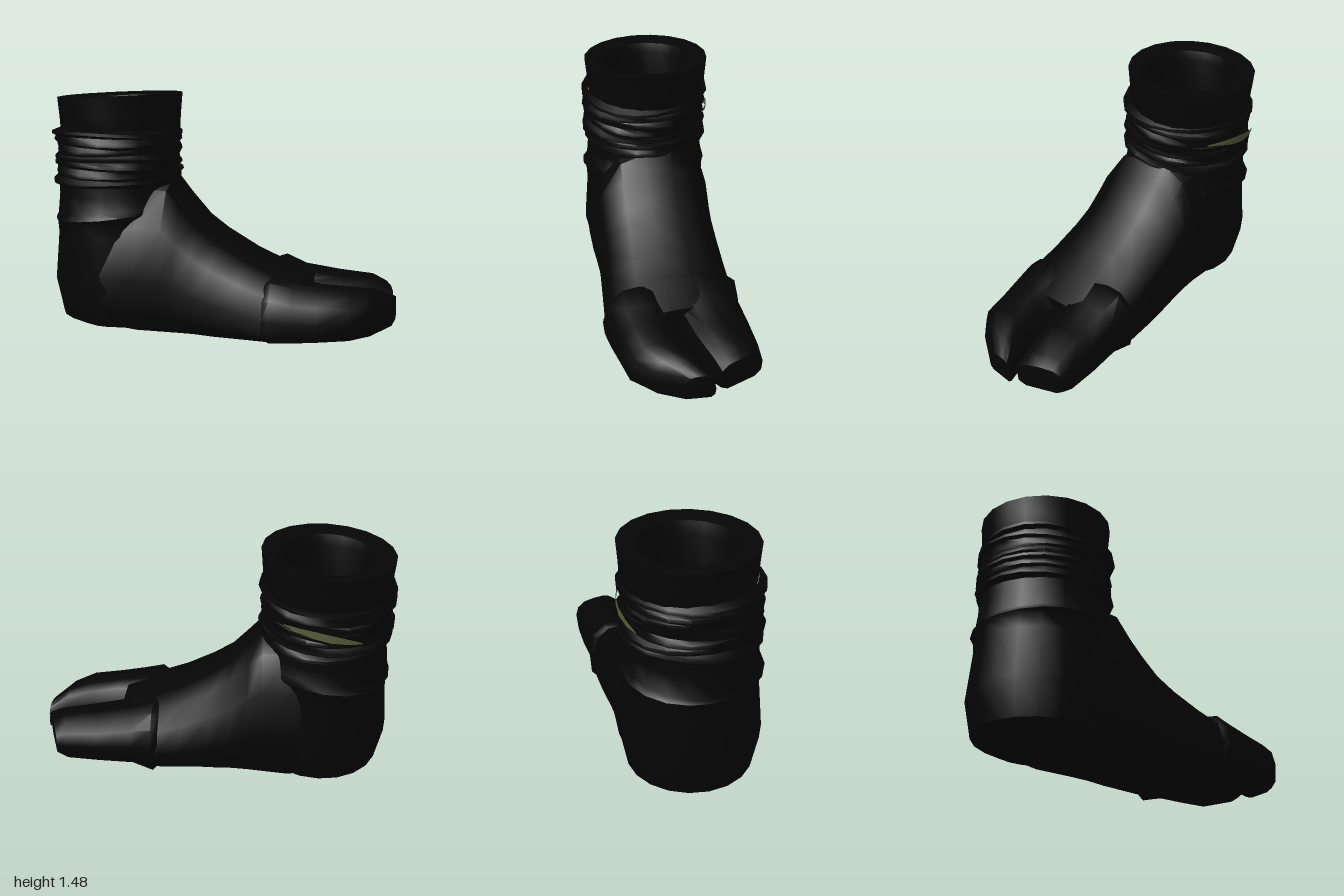
import * as THREE from 'three';
import { toCreasedNormals } from 'three/addons/utils/BufferGeometryUtils.js';

// Skin a list of equal-length rings, optionally closing either end with a fan
function loft(rings, capStart, capEnd) {
  const n = rings[0].length, pos = rings.flat(2), idx = [];
  for (let i = 0; i < rings.length - 1; i++) {
    for (let j = 0; j < n; j++) {
      const a = i * n + j, b = i * n + (j + 1) % n;
      idx.push(a, a + n, b + n, a, b + n, b);
    }
  }
  const cap = (r, flip) => {
    const c = pos.length / 3, ring = rings[r];
    for (let k = 0; k < 3; k++) pos.push(ring.reduce((s, p) => s + p[k], 0) / n);
    for (let j = 0; j < n; j++) {
      const a = r * n + j, b = r * n + (j + 1) % n;
      if (flip) idx.push(c, b, a); else idx.push(c, a, b);
    }
  };
  if (capStart) cap(0, false);
  if (capEnd) cap(rings.length - 1, true);
  const g = new THREE.BufferGeometry();
  g.setAttribute('position', new THREE.Float32BufferAttribute(pos, 3));
  g.setIndex(idx);
  return toCreasedNormals(g, 0.8);
}

// Cross-section outlines: [across -1..1, height 0..1]
const FOOT = [[-0.72, 0], [0.72, 0], [0.96, 0.13], [1, 0.38], [0.87, 0.69], [0.52, 0.93],
  [0.1, 0.99], [-0.3, 1], [-0.65, 0.92], [-0.9, 0.7], [-1, 0.38], [-0.95, 0.13]];
const TOE = [[-0.65, 0], [0.65, 0], [0.95, 0.16], [1, 0.5], [0.93, 0.82], [0.6, 0.97],
  [0, 1], [-0.5, 0.97], [-0.88, 0.8], [-1, 0.5], [-0.95, 0.16]];

// Section: [along, side min, side max, bottom, top, skew]
const sections = (outline, list) => list.map(([u, v0, v1, y0, y1, skew = 0]) =>
  outline.map(([s, t]) => [u + skew * s, y0 + (y1 - y0) * t, (v0 + v1) / 2 + s * (v1 - v0) / 2]));

// Horizontal ring with optional tilt and wrinkle
function ring(y, r, tilt = 0, wrinkle = 0, phase = 0) {
  const pts = [], n = 20;
  for (let j = 0; j < n; j++) {
    const a = j / n * Math.PI * 2;
    const rr = r + wrinkle * Math.sin(3 * a + phase * 2.1);
    const x = rr * Math.cos(a);
    pts.push([x, y + tilt * x + wrinkle * Math.sin(2 * a + phase * 1.7), rr * Math.sin(a)]);
  }
  return pts;
}

export function createModel() {
  const cloth = new THREE.MeshStandardMaterial({ color: 0x050505 });
  cloth.name = 'black cloth';
  const skin = new THREE.MeshStandardMaterial({ color: 0x585d37, side: THREE.DoubleSide });
  skin.name = 'olive skin';

  const model = new THREE.Group();
  model.name = 'splitToeBoot';
  // The foot points diagonally forward
  const boot = new THREE.Group();
  boot.name = 'boot';
  boot.position.set(-0.58, 0, -0.35);
  boot.rotation.y = -0.513;
  model.add(boot);
  const add = (name, geometry, material = cloth) => {
    const m = new THREE.Mesh(geometry, material);
    m.name = name;
    boot.add(m);
    return m;
  };

  // Heel and ankle, with a loose crease
  add('heelAndAnkle', loft([
    ring(0, 0.05), ring(0.03, 0.26), ring(0.085, 0.37), ring(0.3, 0.414), ring(0.6, 0.388),
    ring(0.71, 0.394, 0.09), ring(0.735, 0.408, 0.12, 0.006, 1), ring(0.765, 0.388, 0.12, 0.005, 2),
    ring(0.86, 0.376, 0.03), ring(0.96, 0.375),
  ], true, false));

  // Gathered folds around the ankle: alternating ridges and valleys
  const folds = [ring(0.9, 0.36)];
  [0.945, 0.995, 1.045, 1.09, 1.135, 1.185, 1.235].forEach((y, i) => {
    const r = [0.403, 0.398, 0.4, 0.392, 0.39, 0.4, 0.409][i];
    folds.push(ring(y - 0.022, 0.384, 0, 0.007, i), ring(y - 0.008, r, 0, 0.01, i), ring(y + 0.01, r - 0.003, 0, 0.01, i));
  });
  folds.push(ring(1.265, 0.36));
  add('ankleFolds', loft(folds, false, false));

  // Cuff with thick rim and hollow inside
  add('cuff', loft([
    ring(1.19, 0.36), ring(1.24, 0.374), ring(1.34, 0.38, 0.02), ring(1.462, 0.391, 0.04), ring(1.465, 0.37, 0.04),
    ring(1.445, 0.28, 0.04), ring(1.38, 0.262), ring(1.09, 0.258),
  ], false, true)).position.set(0.007, 0, -0.018);

  // Leg visible down the opening
  const leg = add('innerLeg', new THREE.CylinderGeometry(0.25, 0.25, 0.04, 7), skin);
  leg.position.set(0.007, 1.1, -0.01);

  // Sliver of skin showing between the folds: [angle, low edge, high edge]
  const patch = [[-52, 1.137, 1.145], [-66, 1.122, 1.15], [-78, 1.1, 1.148], [-92, 1.08, 1.13],
    [-106, 1.066, 1.1], [-118, 1.055, 1.064]].map(([deg, low, high]) => {
    const a = THREE.MathUtils.degToRad(deg), x = 0.413 * Math.cos(a), z = 0.413 * Math.sin(a);
    return [[x, low, z], [x, high, z]];
  });
  const pg = new THREE.BufferGeometry();
  pg.setAttribute('position', new THREE.Float32BufferAttribute(patch.flat(2), 3));
  const pi = [];
  for (let i = 0; i < patch.length - 1; i++) {
    const k = 2 * i;
    pi.push(k, k + 3, k + 1, k, k + 2, k + 3);
  }
  pg.setIndex(pi);
  pg.computeVertexNormals();
  add('skinSliver', pg, skin);

  // Instep and sole
  add('foot', loft(sections(FOOT, [
    [0, -0.39, 0.41, 0.06, 0.9], [0.2, -0.395, 0.42, 0.04, 0.97], [0.37, -0.375, 0.42, 0.04, 0.96],
    [0.45, -0.365, 0.42, 0.04, 0.86], [0.56, -0.36, 0.425, 0.04, 0.73], [0.68, -0.36, 0.435, 0.035, 0.64],
    [0.86, -0.36, 0.455, 0.035, 0.53], [1.03, -0.355, 0.475, 0.035, 0.45], [1.25, -0.3, 0.44, 0.075, 0.375],
  ]), false, true));

  // Big toe, with a raised seam where it starts
  add('bigToe', loft(sections(TOE, [
    [1.0, -0.34, 0.05, 0.06, 0.44], [1.04, -0.366, 0.06, 0.025, 0.452], [1.17, -0.338, 0.06, 0.06, 0.4],
    [1.4, -0.345, 0.02, 0.075, 0.365, 0.02], [1.61, -0.34, -0.035, 0.09, 0.345, 0.045],
    [1.68, -0.335, -0.055, 0.13, 0.31, 0.05],
  ]), true, true));

  // Small toes wrapped together
  add('smallToes', loft(sections(FOOT, [
    [1.0, 0.02, 0.47, 0.06, 0.4], [1.04, 0.02, 0.49, 0.05, 0.425], [1.17, 0.045, 0.475, 0.055, 0.395],
    [1.32, 0.075, 0.45, 0.065, 0.37], [1.5, 0.04, 0.425, 0.08, 0.355], [1.63, 0.005, 0.33, 0.09, 0.335, -0.02],
    [1.74, -0.025, 0.17, 0.12, 0.28, -0.01],
  ]), true, true));

  return model;
}
